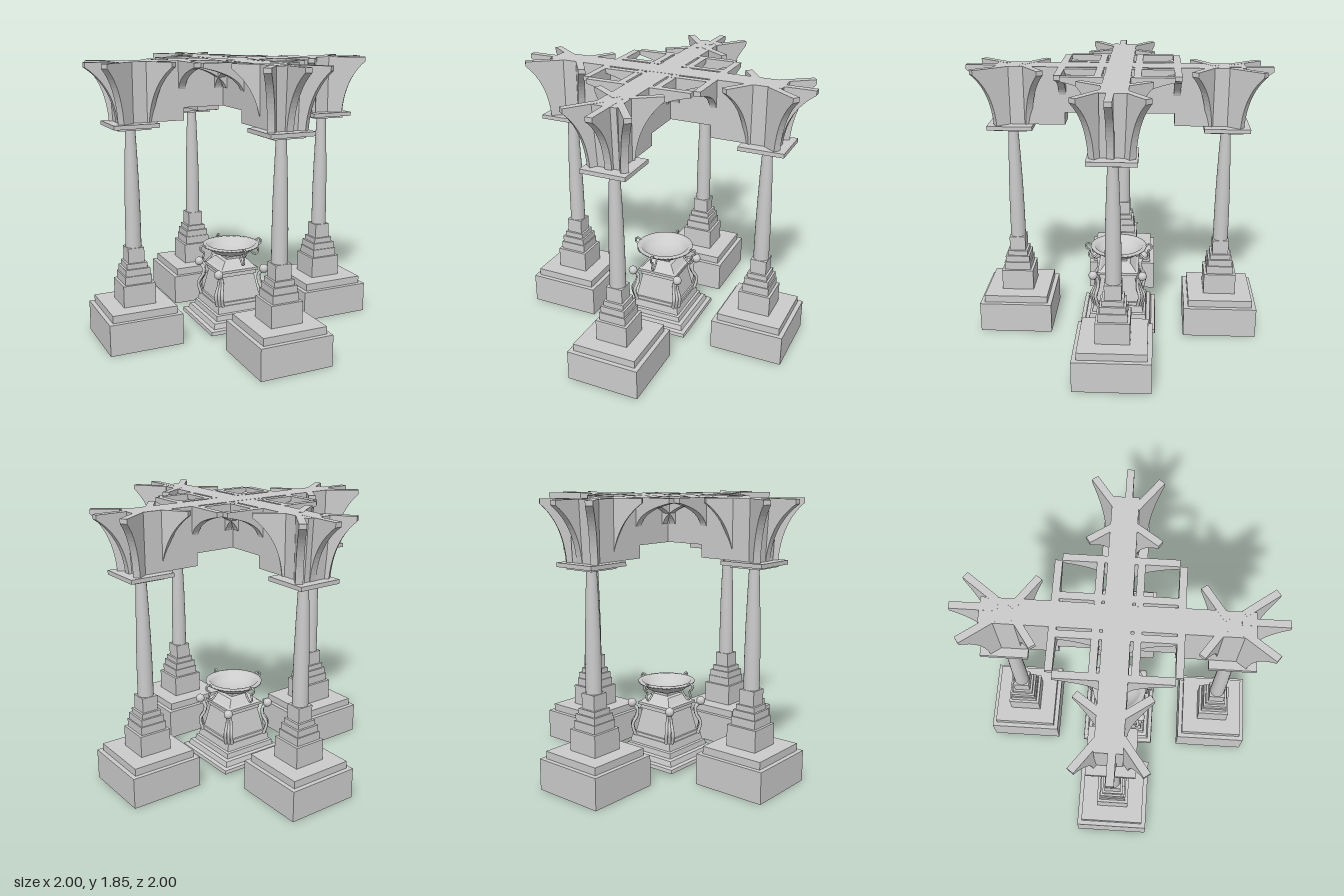
import * as THREE from 'three';

const grey = new THREE.MeshStandardMaterial({ color: 0xcccccc });
const flat = new THREE.MeshStandardMaterial({ color: 0xcccccc, flatShading: true });
const open = new THREE.MeshStandardMaterial({ color: 0xcccccc, side: THREE.DoubleSide });
const TOP = 1.85;

function add(parent, name, geometry, material = grey) {
  const mesh = new THREE.Mesh(geometry, material);
  mesh.name = name;
  parent.add(mesh);
  return mesh;
}

// Square slab from y0 to y1
function slab(parent, name, half, y0, y1) {
  add(parent, name, new THREE.BoxGeometry(half * 2, y1 - y0, half * 2)).position.y = (y0 + y1) / 2;
}

function lathe(points, segments) {
  return new THREE.LatheGeometry(points.map(p => new THREE.Vector2(...p)), segments);
}

// Square-plan moulding from a half-width / height profile
function squareLathe(points) {
  const g = lathe(points.map(([r, y]) => [r * Math.SQRT2, y]), 4);
  return g.rotateY(Math.PI / 4).toNonIndexed();
}

function extrude(shape, depth) {
  return new THREE.ExtrudeGeometry(shape, { depth, bevelEnabled: false, curveSegments: 12 })
    .translate(0, 0, -depth / 2);
}

// Curved bracket: flat on top, concave underside sweeping out to a thin tip
function bracket(inner, foot, tip, yFoot, thick = 0.046) {
  const s = new THREE.Shape();
  s.moveTo(inner, TOP);
  s.lineTo(inner, yFoot);
  s.lineTo(foot, yFoot);
  s.quadraticCurveTo(foot + 0.1 * (tip - foot), yFoot + 0.66 * (1.82 - yFoot), tip, 1.82);
  s.lineTo(tip, TOP);
  s.closePath();
  return extrude(s, thick);
}

// Column with stepped pedestal, abacus and bracket capital; local +x points outward
function makeColumn(finOffset) {
  const g = new THREE.Group();
  g.name = 'column';
  [[0.25, 0, 0.21], [0.22, 0.21, 0.26], [0.11, 0.26, 0.405], [0.092, 0.405, 0.46],
    [0.084, 0.46, 0.505], [0.07, 0.505, 0.54], [0.055, 0.54, 0.64]]
    .forEach(([h, a, b]) => slab(g, 'pedestalStep', h, a, b));
  add(g, 'shaft', lathe([[0.052, 0.64], [0.051, 0.85], [0.047, 1.05], [0.04, 1.25], [0.032, 1.43]], 24));
  slab(g, 'lowerAbacus', 0.108, 1.425, 1.44);
  slab(g, 'upperAbacus', 0.15, 1.44, 1.467);

  add(g, 'outerBracket', bracket(0, 0.09, 0.288, 1.465)).position.z = finOffset;
  for (const side of [1, -1]) {
    const front = add(g, 'outerDiagonalBracket', bracket(0, 0.1, 0.25, 1.465));
    front.position.set(0.015, 0, 0.06 * side);
    front.rotation.y = -side * 0.64;
    const back = add(g, 'innerDiagonalBracket', bracket(0, 0.07, 0.25, 1.465));
    back.position.set(-0.08, 0, 0.015 * side);
    back.rotation.y = -side * (Math.PI - 0.96);
  }
  return g;
}

// One beam of the roof cross with the brackets that run along and across it
function makeBeam() {
  const g = new THREE.Group();
  g.name = 'roofBeam';
  const s = new THREE.Shape();
  [[-0.81, TOP], [-0.79, 1.467], [-0.36, 1.467], [-0.36, 1.55],
    [0.36, 1.55], [0.36, 1.467], [0.79, 1.467], [0.81, TOP]]
    .forEach(([x, y], i) => (i ? s.lineTo(x, y) : s.moveTo(x, y)));
  s.closePath();
  add(g, 'beam', extrude(s, 0.165));
  for (const a of [1, -1]) {
    for (const b of [1, -1]) {
      const cross = add(g, 'crossBracket', bracket(0.07, 0.085, 0.352, 1.67));
      cross.position.x = a * 0.373;
      cross.rotation.y = -b * Math.PI / 2;
      const along = add(g, 'latticeBracket', bracket(0.075, 0.09, 0.355, 1.67));
      along.position.z = a * 0.122;
      along.rotation.y = b > 0 ? 0 : Math.PI;
    }
  }
  return g;
}

function tube(points, radius) {
  const curve = new THREE.CatmullRomCurve3(points.map(([x, y, z = 0]) => new THREE.Vector3(x, y, z)));
  return new THREE.TubeGeometry(curve, 24, radius, 8);
}

// Brazier: square pedestal, corner ornaments, bowl and handles
function makeBrazier() {
  const g = new THREE.Group();
  g.name = 'brazier';
  add(g, 'brazierPedestal', squareLathe([
    [0, 0.11], [0.14, 0.11], [0.14, 0.07], [0.19, 0.07], [0.19, 0.035], [0.235, 0.035], [0.24, 0.02],
    [0.265, 0.02], [0.262, 0.045], [0.235, 0.05], [0.225, 0.085], [0.2, 0.09], [0.195, 0.125],
    [0.18, 0.13], [0.172, 0.18], [0.165, 0.18], [0.162, 0.2], [0.152, 0.202], [0.12, 0.37],
    [0.13, 0.372], [0.128, 0.395], [0.142, 0.4], [0.142, 0.418], [0.125, 0.425],
    [0.085, 0.47], [0.06, 0.475], [0.06, 0.49], [0, 0.49],
  ]), flat);
  add(g, 'bowl', lathe([
    [0.05, 0.47], [0.05, 0.49], [0.08, 0.495], [0.13, 0.515], [0.168, 0.55], [0.195, 0.558],
    [0.197, 0.57], [0.17, 0.572], [0.155, 0.552], [0.12, 0.522], [0.07, 0.505], [0, 0.5],
  ], 40), open);

  for (let i = 0; i < 4; i++) {
    const corner = new THREE.Group();
    corner.name = 'cornerOrnament';
    corner.rotation.y = Math.PI / 4 + i * Math.PI / 2;
    g.add(corner);
    add(corner, 'ball', new THREE.SphereGeometry(0.031, 16, 12)).position.set(0.243, 0.412, 0);
    for (const k of [-1, 0, 1]) {
      add(corner, 'scrollLeg', tube([[0.238, 0.4, 0], [0.208, 0.37, k * 0.008],
        [0.21, 0.32, k * 0.014], [0.24, 0.26, k * 0.022], [0.222, 0.18, k * 0.022]], 0.011));
    }
    const handle = add(g, 'handle', tube([[0.19, 0.56], [0.21, 0.58], [0.232, 0.57], [0.23, 0.545],
      [0.205, 0.525], [0.215, 0.49], [0.195, 0.465], [0.17, 0.48], [0.14, 0.515]], 0.007));
    handle.rotation.y = i * Math.PI / 2;
  }
  return g;
}

export function createModel() {
  const model = new THREE.Group();
  model.name = 'pavilion';

  // Four columns around the centre
  for (let i = 0; i < 4; i++) {
    const arm = new THREE.Group();
    arm.name = 'columnArm';
    const column = makeColumn(i < 2 ? 0.01 : -0.01);
    column.position.x = 0.712;
    arm.add(column);
    arm.rotation.y = i * Math.PI / 2;
    model.add(arm);
  }

  // Crossed roof beams
  for (let i = 0; i < 2; i++) {
    const beam = makeBeam();
    beam.rotation.y = -i * Math.PI / 2;
    beam.position.set(-0.009, -i * 0.001, -0.009);
    model.add(beam);
  }

  model.add(makeBrazier());
  return model;
}
